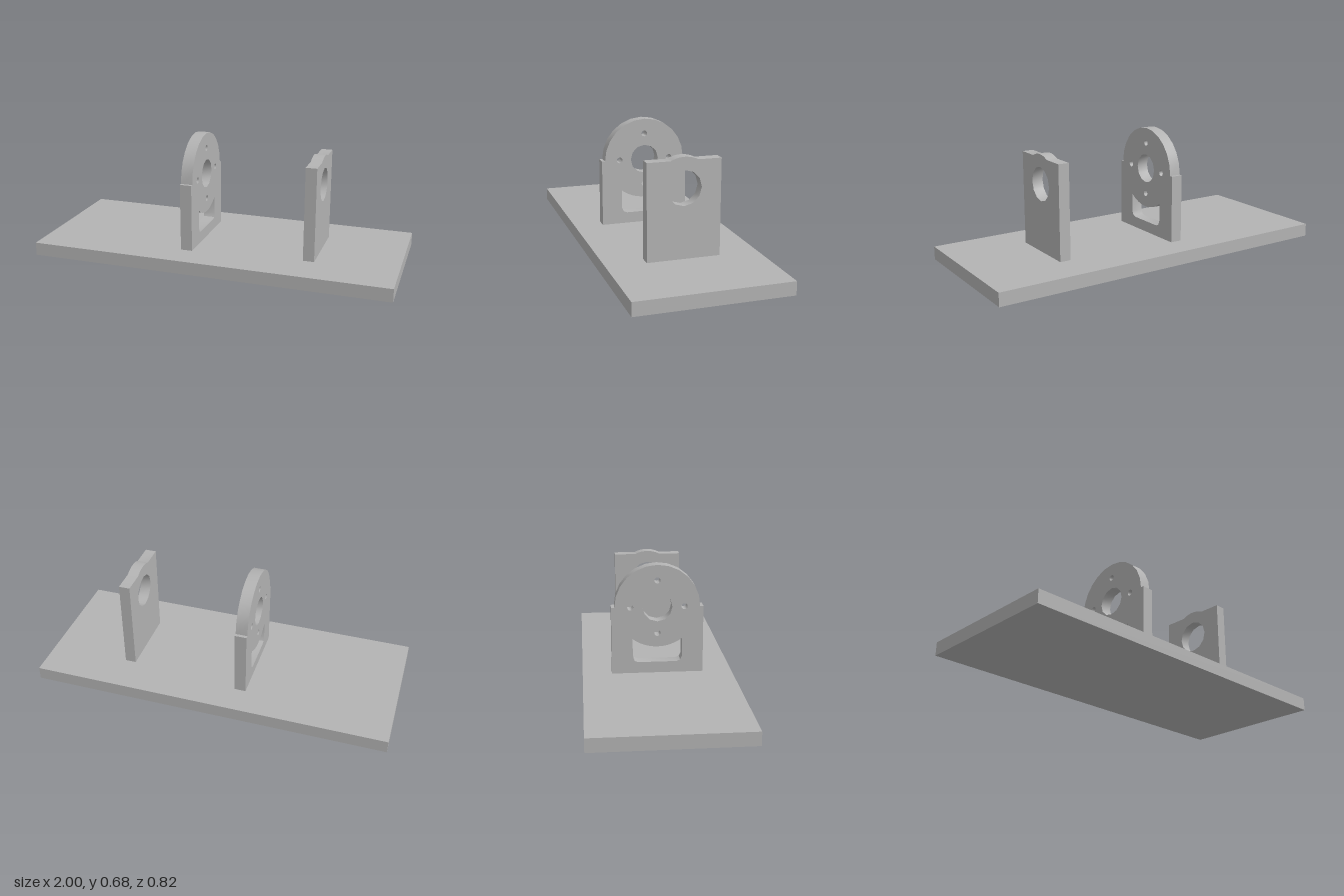
import * as THREE from 'three';
import { toCreasedNormals } from 'three/addons/utils/BufferGeometryUtils.js';

const BASE_TOP = 0.073;
const AXIS_Y = 0.447;

// Round hole in a plate profile
function roundHole(x, y, r) {
  return new THREE.Path().absarc(x, y, r, 0, Math.PI * 2, true);
}

// Upright plate: profile drawn across the base, thickness running along x
function uprightPlate(name, shape, x0, x1, material) {
  const extruded = new THREE.ExtrudeGeometry(shape, { depth: x1 - x0, bevelEnabled: false, curveSegments: 6 });
  extruded.rotateY(Math.PI / 2).translate(x0, 0, 0);
  const mesh = new THREE.Mesh(toCreasedNormals(extruded, 0.6), material);
  mesh.name = name;
  return mesh;
}

export function createModel() {
  const group = new THREE.Group();
  group.name = 'shaftMount';
  const metal = new THREE.MeshStandardMaterial({ color: 0xb3b3b3 });
  metal.name = 'plain grey';

  // Base plate
  const base = new THREE.Mesh(new THREE.BoxGeometry(2, BASE_TOP, 0.82), metal);
  base.name = 'basePlate';
  base.position.y = BASE_TOP / 2;
  group.add(base);

  // Motor plate: square shoulders, round head
  const motor = new THREE.Shape();
  motor.moveTo(-0.25, BASE_TOP);
  motor.lineTo(0.25, BASE_TOP);
  motor.lineTo(0.25, AXIS_Y);
  motor.lineTo(0.232, AXIS_Y);
  motor.absarc(0, AXIS_Y, 0.232, 0, Math.PI, false);
  motor.lineTo(-0.25, AXIS_Y);
  motor.closePath();

  // Shaft hole and four bolt holes around it
  motor.holes.push(roundHole(0, AXIS_Y, 0.081));
  for (let i = 0; i < 4; i++) {
    const a = (i * Math.PI) / 2;
    motor.holes.push(roundHole(0.147 * Math.cos(a), AXIS_Y + 0.147 * Math.sin(a), 0.017));
  }

  // Lower window with a top edge concentric to the shaft
  const spread = Math.asin(0.135 / 0.224);
  const slot = new THREE.Path();
  slot.moveTo(-0.135, 0.165);
  slot.lineTo(-0.125, 0.143);
  slot.lineTo(-0.105, 0.135);
  slot.lineTo(0.105, 0.135);
  slot.lineTo(0.125, 0.143);
  slot.lineTo(0.135, 0.165);
  slot.absarc(0, AXIS_Y, 0.224, -Math.PI / 2 + spread, -Math.PI / 2 - spread, true);
  slot.closePath();
  motor.holes.push(slot);
  group.add(uprightPlate('motorPlate', motor, -0.185, -0.12, metal));

  // Bearing plate: square top with a shallow bump above its hole
  const top = 0.59;
  const bumpR = 0.161;
  const start = Math.asin((top - AXIS_Y) / bumpR);
  const bearing = new THREE.Shape();
  bearing.moveTo(-0.197, BASE_TOP);
  bearing.lineTo(0.197, BASE_TOP);
  bearing.lineTo(0.197, top);
  bearing.absarc(0, AXIS_Y, bumpR, start, Math.PI - start, false);
  bearing.lineTo(-0.197, top);
  bearing.closePath();
  bearing.holes.push(roundHole(0, AXIS_Y, 0.093));
  group.add(uprightPlate('bearingPlate', bearing, 0.491, 0.552, metal));

  return group;
}
